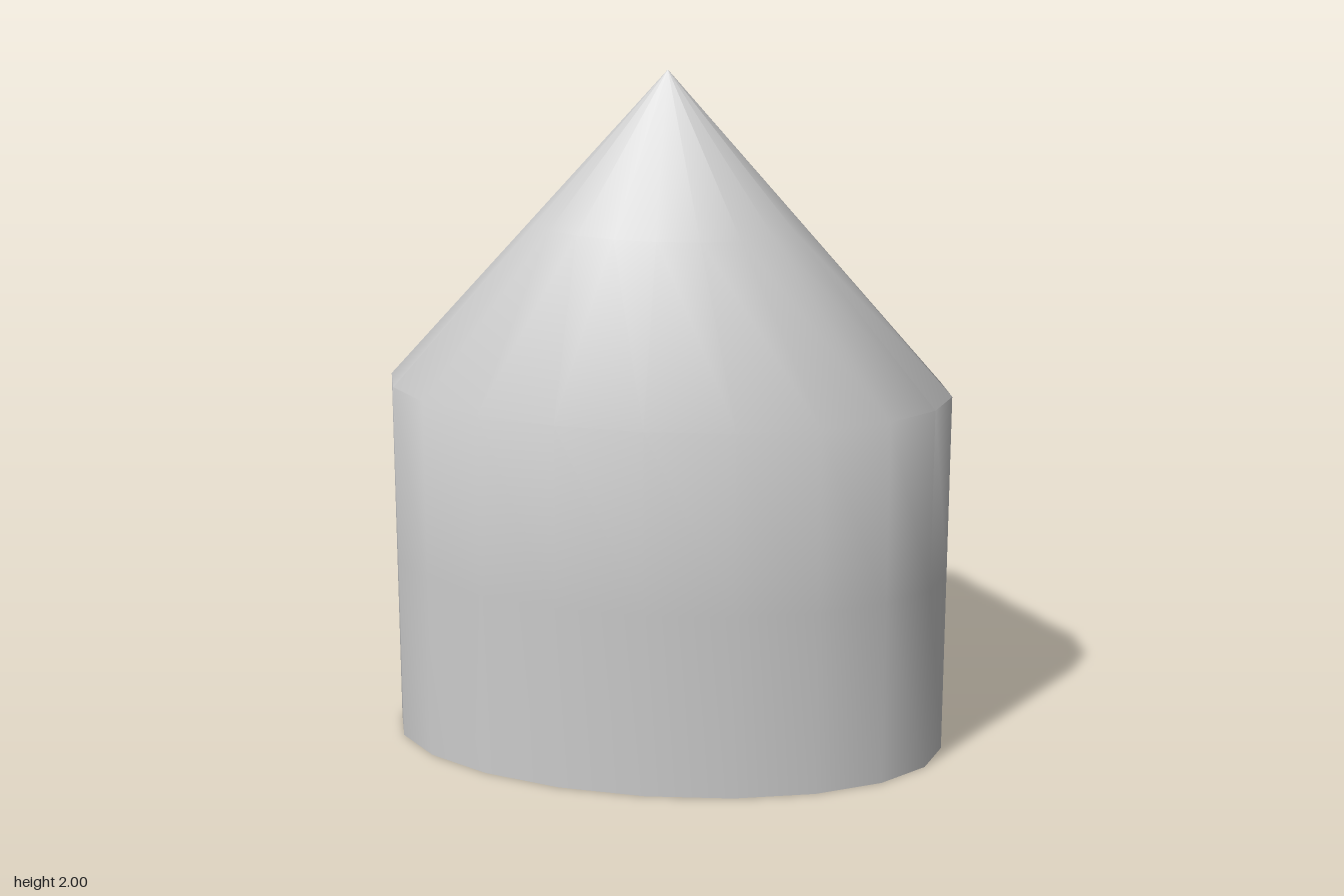
import * as THREE from 'three';
import { toCreasedNormals } from 'three/addons/utils/BufferGeometryUtils.js';

const SIDES = 20;
const HALF_WIDTH = 0.816, HALF_DEPTH = 0.456;
const SHOULDER = 1.085, HEIGHT = 2;

export function createModel() {
  const group = new THREE.Group();
  group.name = 'pointedEllipticalBlock';

  // Flat base, straight wall and pointed roof, turned as one unit profile
  const ringY = 1.56;
  const ringRadius = (HEIGHT - ringY) / (HEIGHT - SHOULDER);
  const profile = [
    [0, 0], [1, 0], [1, 0.55], [1, SHOULDER], [ringRadius, ringY], [0, HEIGHT],
  ].map(([r, y]) => new THREE.Vector2(r, y));

  // Stretch the round section to an ellipse; keep the base rim and sharp ends crisp
  const turned = new THREE.LatheGeometry(profile, SIDES);
  turned.scale(HALF_WIDTH, 1, HALF_DEPTH);
  const geometry = toCreasedNormals(turned, 0.8);

  const body = new THREE.Mesh(
    geometry,
    new THREE.MeshStandardMaterial({ color: 0xcccccc })
  );
  body.name = 'wallAndPointedRoof';
  group.add(body);
  return group;
}
